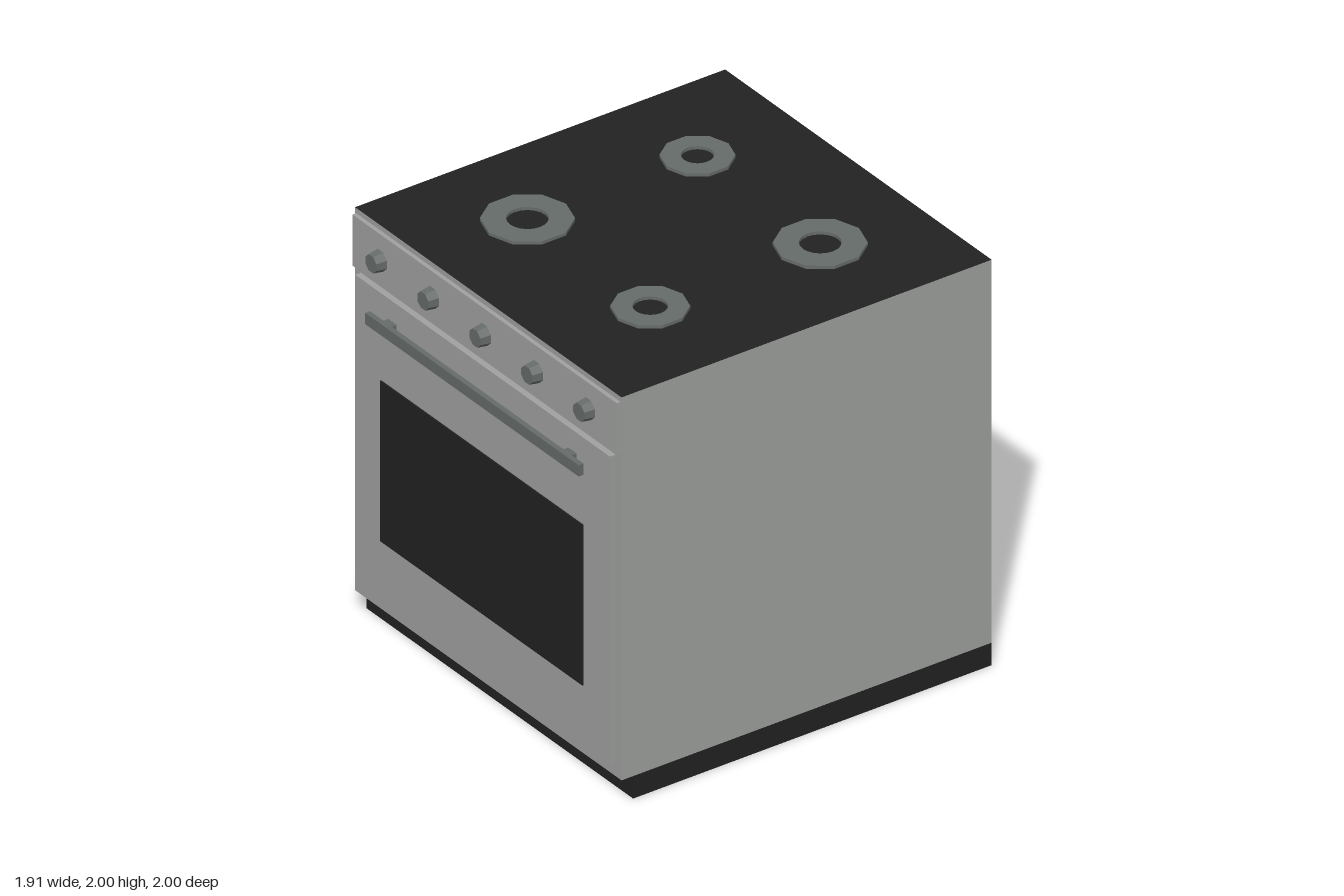
import * as THREE from 'three';

export function createModel() {
  const steel = new THREE.MeshStandardMaterial({ color: 0x9fa19f });
  steel.name = 'brushed steel';
  const black = new THREE.MeshStandardMaterial({ color: 0x222222, side: THREE.DoubleSide });
  black.name = 'black enamel';
  const grey = new THREE.MeshStandardMaterial({ color: 0x666c6a, flatShading: true });
  grey.name = 'dark grey metal';

  const model = new THREE.Group();
  model.name = 'cooker';

  const add = (name, geometry, material, x = 0, y = 0, z = 0) => {
    const mesh = new THREE.Mesh(geometry, material);
    mesh.name = name;
    mesh.position.set(x, y, z);
    model.add(mesh);
    return mesh;
  };
  // box given by its lower and upper limits
  const block = (name, material, [x0, x1], [y0, y1], [z0, z1]) =>
    add(name, new THREE.BoxGeometry(x1 - x0, y1 - y0, z1 - z0), material,
      (x0 + x1) / 2, (y0 + y1) / 2, (z0 + z1) / 2);

  // cabinet with a black hob surface on top
  block('cabinet', [steel, steel, black, steel, steel, steel], [-0.955, 0.955], [0.11, 1.985], [-1, 0.915]);

  // plinth: four thin walls, open underneath
  for (const z of [-1, 0.855]) {
    const wall = add('plinthWall', new THREE.PlaneGeometry(1.91, 0.11), black, 0, 0.055, z);
    if (z < 0) wall.rotation.y = Math.PI;
  }
  for (const side of [-1, 1]) {
    add('plinthSide', new THREE.PlaneGeometry(1.855, 0.11), black, side * 0.955, 0.055, -0.0725)
      .rotation.y = side * Math.PI / 2;
  }

  // control panel, door and window
  block('controlPanel', steel, [-0.947, 0.947], [1.71, 1.96], [0.915, 0.935]);
  block('ovenDoor', steel, [-0.913, 0.913], [0.175, 1.685], [0.915, 0.945]);
  block('doorWindow', black, [-0.725, 0.725], [0.475, 1.26], [0.945, 0.952]);

  // door handle on two mounts
  block('handleBar', grey, [-0.765, 0.765], [1.535, 1.59], [0.975, 1]);
  for (const side of [-1, 1]) {
    block('handleMount', grey, [side * 0.645 - 0.03, side * 0.645 + 0.03], [1.54, 1.585], [0.945, 0.975]);
  }

  // tapered octagonal knobs
  const knob = new THREE.CylinderGeometry(0.043, 0.051, 0.05, 8);
  knob.rotateY(Math.PI / 8).rotateX(Math.PI / 2);
  for (let i = -2; i <= 2; i++) add('knob', knob, grey, i * 0.3725, 1.835, 0.96);

  // burner rings: ten-sided outside, round hole
  const burners = [
    [-0.44, -0.485, 0.16, 0.07], [0.44, -0.485, 0.2, 0.09],
    [-0.44, 0.395, 0.2, 0.09], [0.44, 0.395, 0.168, 0.075],
  ];
  for (const [x, z, outer, inner] of burners) {
    const ring = new THREE.Shape(Array.from({ length: 10 }, (_, i) => {
      const a = Math.PI / 2 + i * Math.PI / 5;
      return new THREE.Vector2(outer * Math.cos(a), outer * Math.sin(a));
    }));
    ring.holes.push(new THREE.Path().absarc(0, 0, inner, 0, Math.PI * 2, true));
    const geometry = new THREE.ExtrudeGeometry(ring, { depth: 0.015, bevelEnabled: false, curveSegments: 10 });
    add('burnerRing', geometry.rotateX(-Math.PI / 2), grey, x, 1.985, z);
  }

  return model;
}
